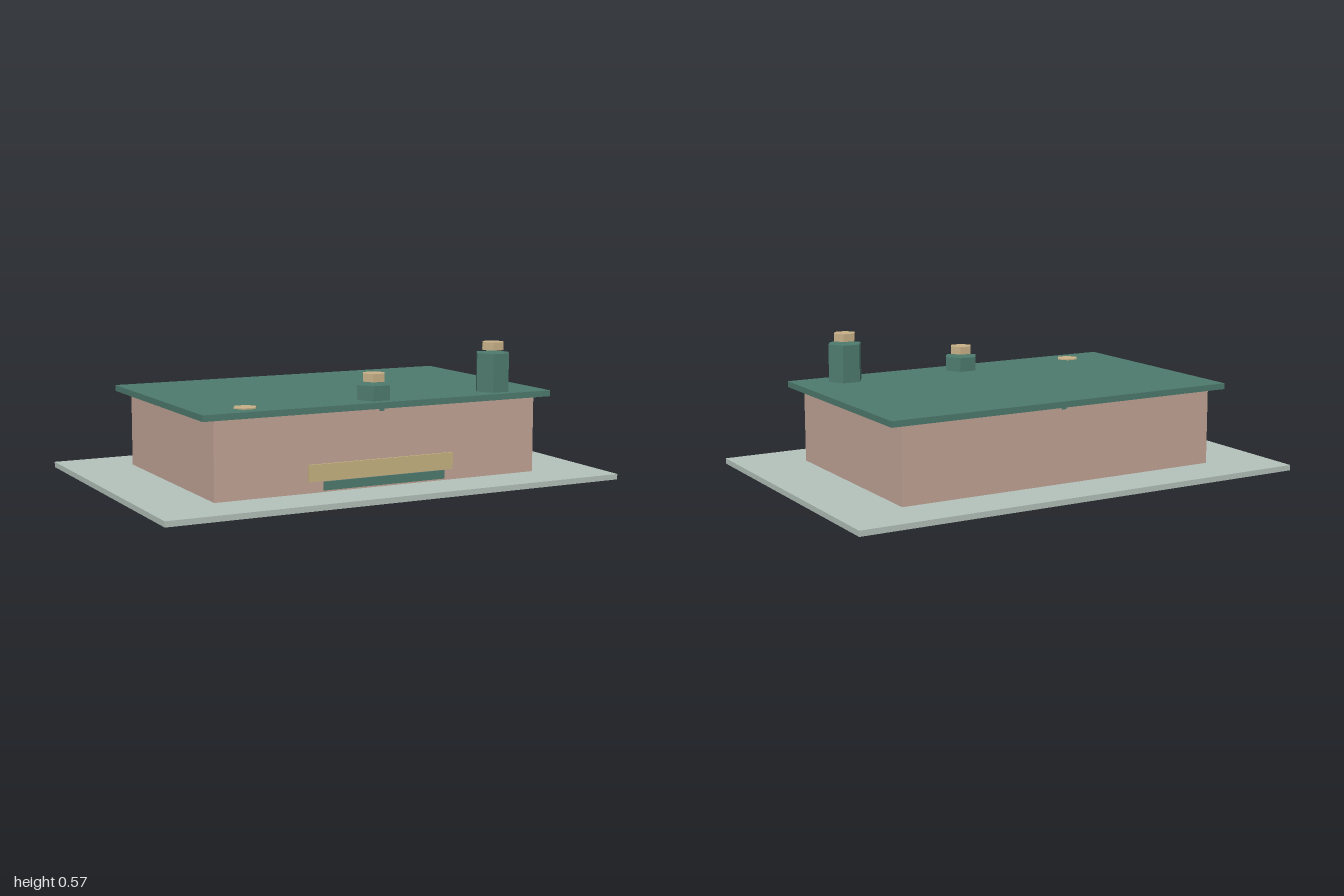
import * as THREE from 'three';

const paint = (name, color) => {
  const m = new THREE.MeshStandardMaterial({ color });
  m.name = name;
  return m;
};

export function createModel() {
  const model = new THREE.Group();
  model.name = 'boxWithBolts';

  const green = paint('deep green', 0x4f7b6f);
  const pale = paint('pale sage', 0xb5c3bc);
  const clay = paint('dusty clay', 0xc4a698);
  const brass = paint('brass', 0xc8b188);
  const straw = paint('straw', 0xc8b581);

  const add = (name, geometry, material, x, y, z) => {
    const mesh = new THREE.Mesh(geometry, material);
    mesh.name = name;
    mesh.position.set(x, y, z);
    model.add(mesh);
  };
  // Box given by its width, depth and vertical span
  const box = (name, material, w, d, y0, y1, z = 0) =>
    add(name, new THREE.BoxGeometry(w, y1 - y0, d), material, 0, (y0 + y1) / 2, z);
  // Hexagonal prism with corners on the x axis
  const hex = (name, material, r, x, y0, y1, z) => {
    const g = new THREE.CylinderGeometry(r, r, y1 - y0, 6).toNonIndexed();
    g.rotateY(Math.PI / 6);
    g.computeVertexNormals();
    add(name, g, material, x, (y0 + y1) / 2, z);
  };

  // Main body
  box('basePlate', pale, 2, 1.333, 0, 0.023);
  box('body', clay, 1.44, 0.906, 0.023, 0.341);
  box('lid', green, 1.556, 0.98, 0.341, 0.366);

  // Small ribs whose ends show under the lid on all four sides
  box('ribAlongX', green, 1.448, 0.02, 0.327, 0.341);
  box('ribAlongZ', green, 0.02, 0.914, 0.327, 0.341);

  // Front label plate and the strip standing in front of it
  box('labelPlate', straw, 0.652, 0.008, 0.068, 0.136, 0.457);
  box('frontStrip', green, 0.544, 0.006, 0.036, 0.071, 0.483);

  // Three bolts of rising height; the lowest sits flush in the lid
  const z = 0.385;
  [[-0.56, 0.326], [0, 0.426], [0.56, 0.525]].forEach(([x, top]) => {
    if (top > 0.366) hex('boltColumn', green, 0.075, x, 0.366, top, z);
    hex('boltHead', brass, 0.049, x, top + 0.012, top + 0.045, z);
  });

  return model;
}
